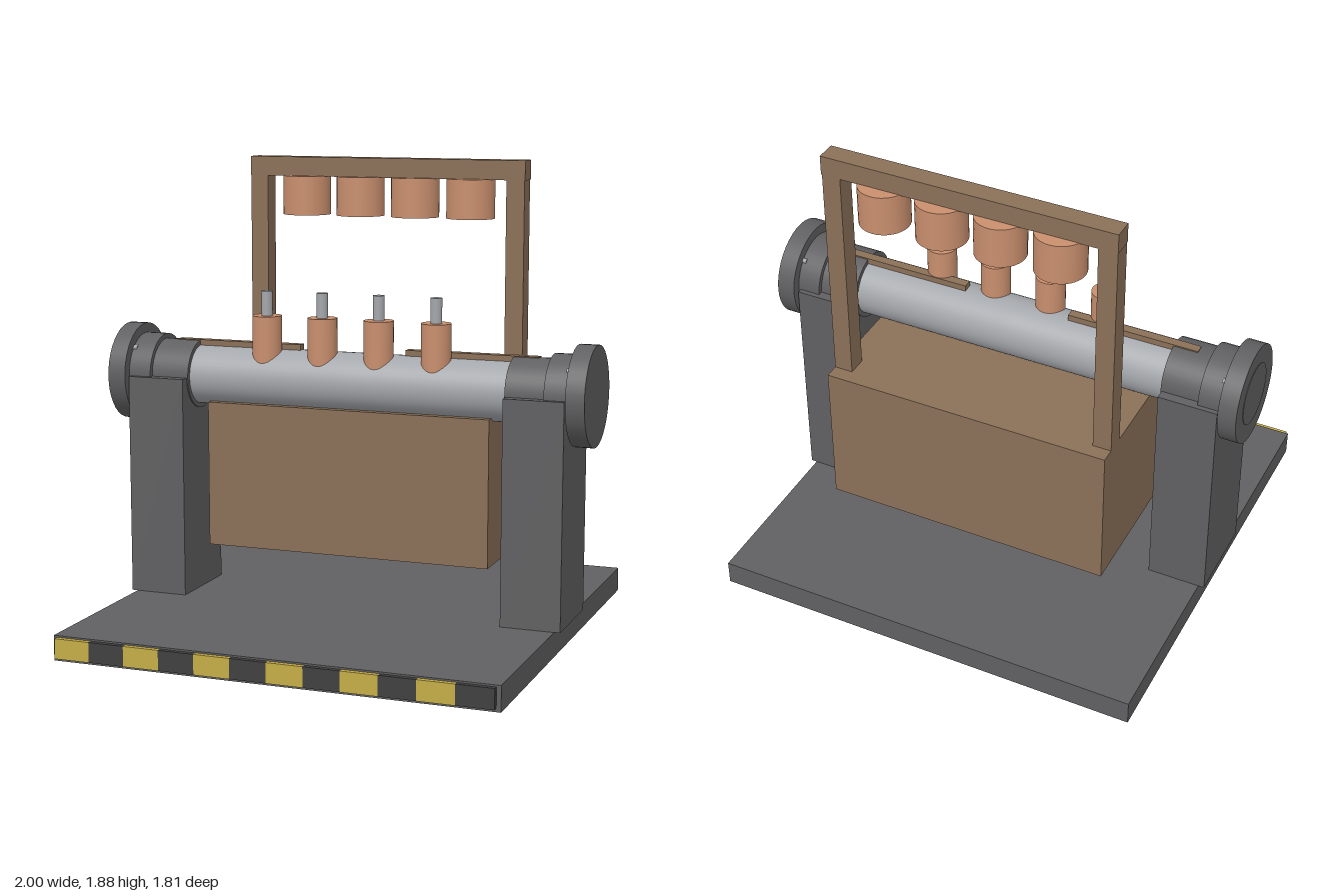
import * as THREE from 'three';

const mat = (name, color, extra = {}) => {
  const m = new THREE.MeshStandardMaterial({ color, ...extra });
  m.name = name;
  return m;
};

export function createModel() {
  const root = new THREE.Group();
  root.name = 'rollerPress';

  const darkGrey = mat('dark grey metal', 0x606062);
  const brown = mat('brown', 0x8a7058);
  const copper = mat('copper', 0xc98f6e);
  const steel = mat('steel', 0xa4a7ab);
  const yellow = mat('warning yellow', 0xc6ad48);
  const black = mat('warning black', 0x404040);

  const AXIS_Y = 1.0, AXIS_Z = -0.01;
  const stations = [-0.36, -0.12, 0.12, 0.36];

  const add = (name, geo, material) => {
    const mesh = new THREE.Mesh(geo, material);
    mesh.name = name;
    root.add(mesh);
    return mesh;
  };
  // Box given by its limits on each axis
  const box = (name, material, x0, x1, y0, y1, z0, z1) =>
    add(name, new THREE.BoxGeometry(x1 - x0, y1 - y0, z1 - z0), material)
      .position.set((x0 + x1) / 2, (y0 + y1) / 2, (z0 + z1) / 2);
  // Upright cylinder
  const pillar = (name, material, r, x, y0, y1, z) =>
    add(name, new THREE.CylinderGeometry(r, r, y1 - y0, 32), material)
      .position.set(x, (y0 + y1) / 2, z);
  // Cylinder lying along x
  const axle = (name, material, r, x0, x1, y = AXIS_Y, z = AXIS_Z) => {
    const geo = new THREE.CylinderGeometry(r, r, Math.abs(x1 - x0), 40).rotateZ(Math.PI / 2);
    add(name, geo, material).position.set((x0 + x1) / 2, y, z);
  };

  // Base plate with hazard stripes on its front edge
  box('basePlate', darkGrey, -0.893, 0.893, 0, 0.1, -0.905, 0.883);
  const w = 1.755 / 12;
  for (let i = 0; i < 12; i++) {
    const x = -0.88 + i * w;
    box('hazardStripe', i % 2 ? black : yellow, x, x + w, 0.013, 0.093, 0.875, 0.903);
  }

  // Posts, bearings, hubs and end flanges, mirrored
  for (const s of [-1, 1]) {
    const a = s * 0.675, b = s * 0.917;
    box('post', darkGrey, Math.min(a, b), Math.max(a, b), 0.1, 1.0, -0.19, 0.17);
    axle('rollerHalf', steel, 0.121, 0, s * 0.68);
    axle('bearing', darkGrey, 0.14, s * 0.67, s * 0.84);
    axle('hub', darkGrey, 0.16, s * 0.83, s * 0.925);
    axle('endFlange', darkGrey, 0.2, s * 0.925, s * 1.0);
    // Small bolts around the hub
    for (let k = 0; k < 4; k++) {
      const t = Math.PI / 4 + k * Math.PI / 2;
      axle('bolt', steel, 0.01, s * 0.908, s * 0.93,
        AXIS_Y + Math.sin(t) * 0.156, AXIS_Z + Math.cos(t) * 0.156);
    }
    // Flat guide strips on top of the roller
    const c = s * 0.225, d = s * 0.77;
    box('guideStrip', brown, Math.min(c, d), Math.max(c, d), 1.1, 1.143, -0.035, 0.003);
    // Uprights of the rear frame
    const e = s * 0.522, f = s * 0.598;
    box('frameUpright', brown, Math.min(e, f), Math.max(e, f), 0.86, 1.8, -0.45, -0.37);
  }
  // Round cap on one flange
  axle('flangeCap', steel === null ? steel : darkGrey, 0.125, -0.99, -1.002);

  // Cabinet below the roller and the top beam of the frame
  box('cabinet', brown, -0.598, 0.598, 0.305, 0.9, -0.51, 0.09);
  box('frameBeam', brown, -0.6, 0.6, 1.8, 1.88, -0.453, -0.37);

  // Four nozzles on the roller, each under a hanging weight
  for (const x of stations) {
    pillar('nozzle', copper, 0.06, x, 1.04, 1.26, 0.028);
    pillar('nozzlePin', steel, 0.023, x, 1.25, 1.36, 0.028);
    pillar('hangingWeight', copper, 0.1, x, 1.64, 1.802, -0.41);
  }

  return root;
}
